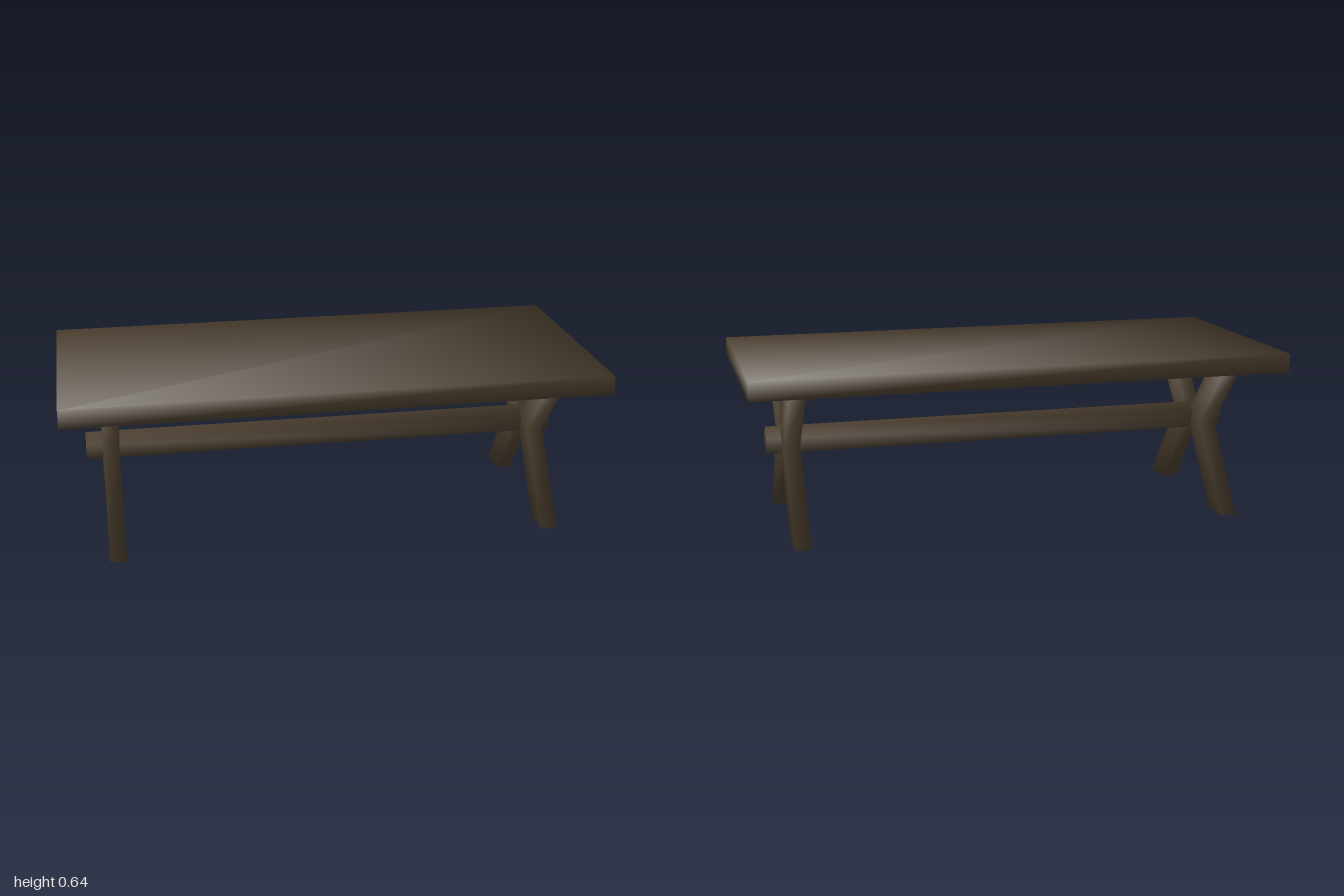
import * as THREE from 'three';
import { mergeVertices } from 'three/addons/utils/BufferGeometryUtils.js';

// Weld corners and give them angle-weighted smooth normals
function weld(source) {
  const geo = source.clone();
  geo.deleteAttribute('normal');
  geo.deleteAttribute('uv');
  geo.clearGroups();
  const g = mergeVertices(geo, 1e-4);
  const pos = g.attributes.position;
  const sums = Array.from({ length: pos.count }, () => new THREE.Vector3());
  const p = [0, 1, 2].map(() => new THREE.Vector3());
  for (let i = 0; i < g.index.count; i += 3) {
    const ids = [0, 1, 2].map((k) => g.index.getX(i + k));
    ids.forEach((id, k) => p[k].fromBufferAttribute(pos, id));
    const n = p[1].clone().sub(p[0]).cross(p[2].clone().sub(p[0])).normalize();
    ids.forEach((id, k) => {
      const a = p[(k + 1) % 3].clone().sub(p[k]);
      const b = p[(k + 2) % 3].clone().sub(p[k]);
      if (a.lengthSq() > 0 && b.lengthSq() > 0) sums[id].addScaledVector(n, a.angleTo(b));
    });
  }
  const normals = new Float32Array(sums.flatMap((v) => v.normalize().toArray()));
  g.setAttribute('normal', new THREE.BufferAttribute(normals, 3));
  return g;
}

// Bent half of a crossed leg: foot, waist and top sections on the +z side
function legGeometry() {
  const sections = [
    { inner: [0, 0.24], outer: [0, 0.365] },
    { inner: [0.33, 0], outer: [0.322, 0.127] },
    { inner: [0.572, 0.221], outer: [0.572, 0.356] },
  ];
  const g = new THREE.BoxGeometry(0.06, 1, 1, 1, 2, 1);
  const pos = g.attributes.position;
  for (let i = 0; i < pos.count; i++) {
    const s = sections[Math.round((pos.getY(i) + 0.5) * 2)];
    const [y, z] = pos.getZ(i) > 0 ? s.outer : s.inner;
    pos.setXYZ(i, pos.getX(i), y, z);
  }
  return weld(g);
}

export function createModel() {
  const model = new THREE.Group();
  model.name = 'trestleTable';
  const wood = new THREE.MeshStandardMaterial({ color: 0x4c3f2f });
  wood.name = 'dark brown wood';

  const add = (name, geometry, parent = model) => {
    const mesh = new THREE.Mesh(geometry, wood);
    mesh.name = name;
    parent.add(mesh);
    return mesh;
  };

  // Table top
  add('tableTop', weld(new THREE.BoxGeometry(2, 0.07, 0.92))).position.y = 0.605;

  // Crossed legs at both ends
  const leg = legGeometry();
  for (const side of [1, -1]) {
    const trestle = new THREE.Group();
    trestle.name = side > 0 ? 'leftTrestle' : 'rightTrestle';
    trestle.position.x = 0.82 * side;
    add('frontLeg', leg, trestle);
    add('backLeg', leg, trestle).rotation.y = Math.PI;
    model.add(trestle);
  }

  // Five-sided stretcher beam with one edge on top
  const beam = new THREE.CylinderGeometry(0.054, 0.054, 1.815, 5);
  const turn = new THREE.Matrix4().makeBasis(
    new THREE.Vector3(0, 0, 1), new THREE.Vector3(1, 0, 0), new THREE.Vector3(0, 1, 0));
  beam.applyMatrix4(turn);
  add('stretcherBeam', weld(beam)).position.set(-0.004, 0.321, 0);

  return model;
}
